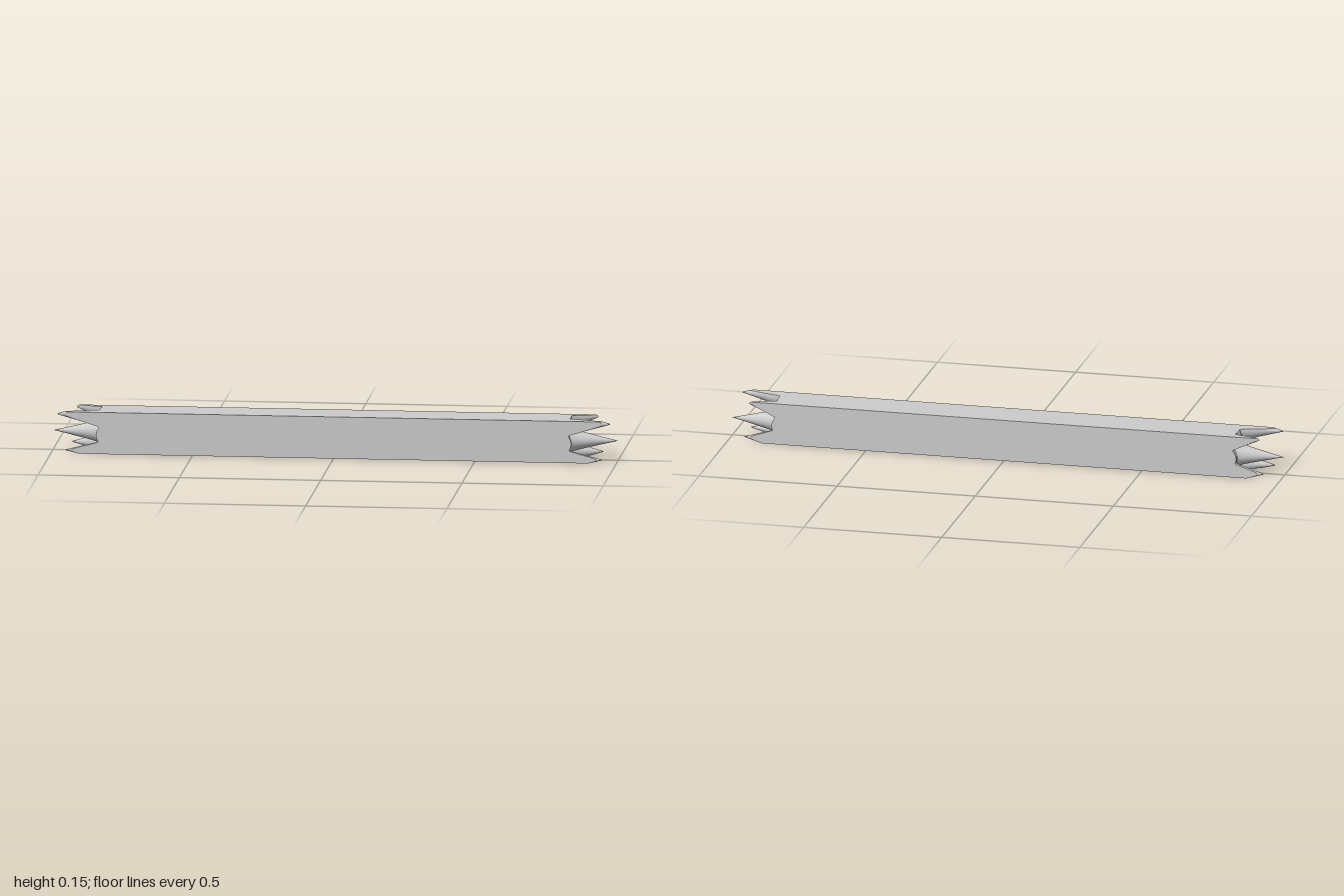
import * as THREE from 'three';

const HEIGHT = 0.149, DEPTH = 0.146;

// Splinters on each broken end: tip x, y, z, then radius in y and in z
const splinters = [
  [0.985, 0.14, 0.064, 0.045, 0.045],
  [1.0, 0.068, -0.01, 0.042, 0.045],
  [0.955, 0.012, 0.066, 0.032, 0.04],
  [0.945, 0.018, -0.066, 0.035, 0.035],
  [0.93, 0.143, -0.068, 0.045, 0.03],
];

// How far the broken end reaches at a point of the cross-section
function endReach(y, z) {
  // gently uneven torn surface
  let reach = 0.83 + 0.012 * Math.sin(y * 55 + 1) * Math.cos(z * 48);
  for (const [tip, ty, tz, ry, rz] of splinters) {
    const d = Math.hypot((y - ty) / ry, (z - tz) / rz);
    if (d < 1) reach = Math.max(reach, 0.83 + (tip - 0.83) * Math.pow(1 - d, 1.1));
  }
  return reach;
}

export function createModel() {
  const group = new THREE.Group();
  group.name = 'brokenBeam';

  // Square beam whose two ends are pulled out into matching splinters
  const geometry = new THREE.BoxGeometry(2, HEIGHT, DEPTH, 1, 44, 44);
  geometry.translate(0, HEIGHT / 2, 0);
  const p = geometry.attributes.position;
  for (let i = 0; i < p.count; i++) {
    p.setX(i, Math.sign(p.getX(i)) * endReach(p.getY(i), p.getZ(i)));
  }

  // Smooth torn ends, flat long sides
  geometry.computeVertexNormals();
  const beam = new THREE.Mesh(geometry, new THREE.MeshStandardMaterial({ color: 0xcccccc }));
  beam.name = 'splinteredBeam';
  group.add(beam);
  return group;
}
